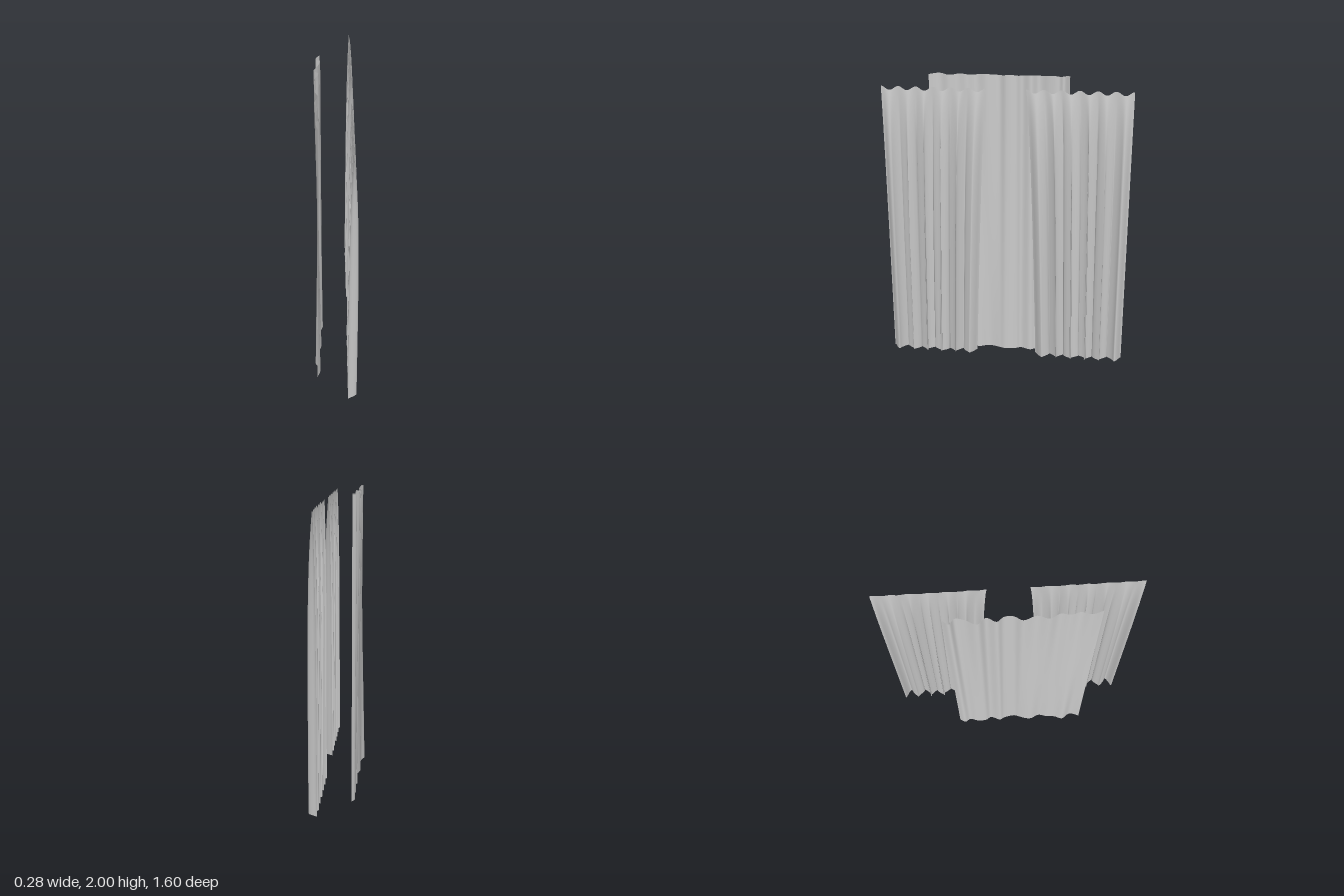
import * as THREE from 'three';

const material = new THREE.MeshStandardMaterial({ color: 0xcccccc, side: THREE.DoubleSide });
const lerp = THREE.MathUtils.lerp;

// Cloth sheet: point(u, v) gives [x, y, z], u across the cloth and v from hem to top
function cloth(name, columns, rows, point) {
  const geometry = new THREE.PlaneGeometry(1, 1, columns, rows);
  const position = geometry.attributes.position;
  const uv = geometry.attributes.uv;
  for (let i = 0; i < position.count; i++) {
    position.setXYZ(i, ...point(uv.getX(i), uv.getY(i)));
  }
  geometry.computeVertexNormals();
  const mesh = new THREE.Mesh(geometry, material);
  mesh.name = name;
  return mesh;
}

// Pleated drape: folds deepen below the gathered top, inner edge drawn outwards at the hem
function drape(name, side) {
  const folds = 6;
  return cloth(name, folds * 12, 24, (u, v) => {
    const phase = u * folds * Math.PI * 2;
    const top = 1.94 + 0.012 * Math.cos(phase);
    const y = lerp(0.08, top, 1 - (1 - v) ** 1.5);
    const fall = 1 - Math.exp(-(top - y) / 0.35);
    const depth = 0.004 + 0.026 * fall;
    const x = 0.1 + 0.01 * fall - depth * Math.cos(phase + 0.35 * Math.sin(u * 17));
    const inner = lerp(0.205, 0.125, v);
    const overhang = 0.016 * fall * Math.sin(2 * phase) * Math.sin(Math.PI * u);
    return [x, y, side * (lerp(0.8, inner, u) + overhang)];
  });
}

// Fold outlines of the back panel, as [z, x] points at its top and hem
const topFolds = [
  [-0.39, -0.1], [-0.35, -0.125], [-0.32, -0.095], [-0.26, -0.105], [-0.19, -0.135],
  [-0.14, -0.1], [-0.08, -0.125], [-0.04, -0.1], [0.02, -0.1], [0.07, -0.125],
  [0.15, -0.105], [0.22, -0.125], [0.28, -0.1], [0.34, -0.11], [0.4, -0.095],
  [0.46, -0.115], [0.53, -0.095],
];
const hemFolds = [
  [-0.39, -0.1], [-0.35, -0.12], [-0.31, -0.1], [-0.26, -0.115], [-0.19, -0.115],
  [-0.15, -0.095], [-0.08, -0.12], [-0.05, -0.105], [0.03, -0.092], [0.07, -0.105],
  [0.15, -0.125], [0.22, -0.1], [0.28, -0.115], [0.34, -0.12], [0.4, -0.14],
  [0.46, -0.105], [0.53, -0.125],
];
const curveOf = (points) =>
  new THREE.CatmullRomCurve3(points.map(([z, x]) => new THREE.Vector3(x, 0, z)));

export function createModel() {
  const model = new THREE.Group();
  model.name = 'curtains';

  // Front pair of drapes
  model.add(drape('leftDrape', 1), drape('rightDrape', -1));

  // Single loose panel behind
  const top = curveOf(topFolds);
  const hem = curveOf(hemFolds);
  model.add(cloth('backPanel', 96, 10, (u, v) => {
    const p = hem.getPoint(u).lerp(top.getPoint(u), v);
    const y = v * (1.996 + 0.004 * Math.cos(u * 40));
    return [p.x, y, p.z];
  }));

  return model;
}
